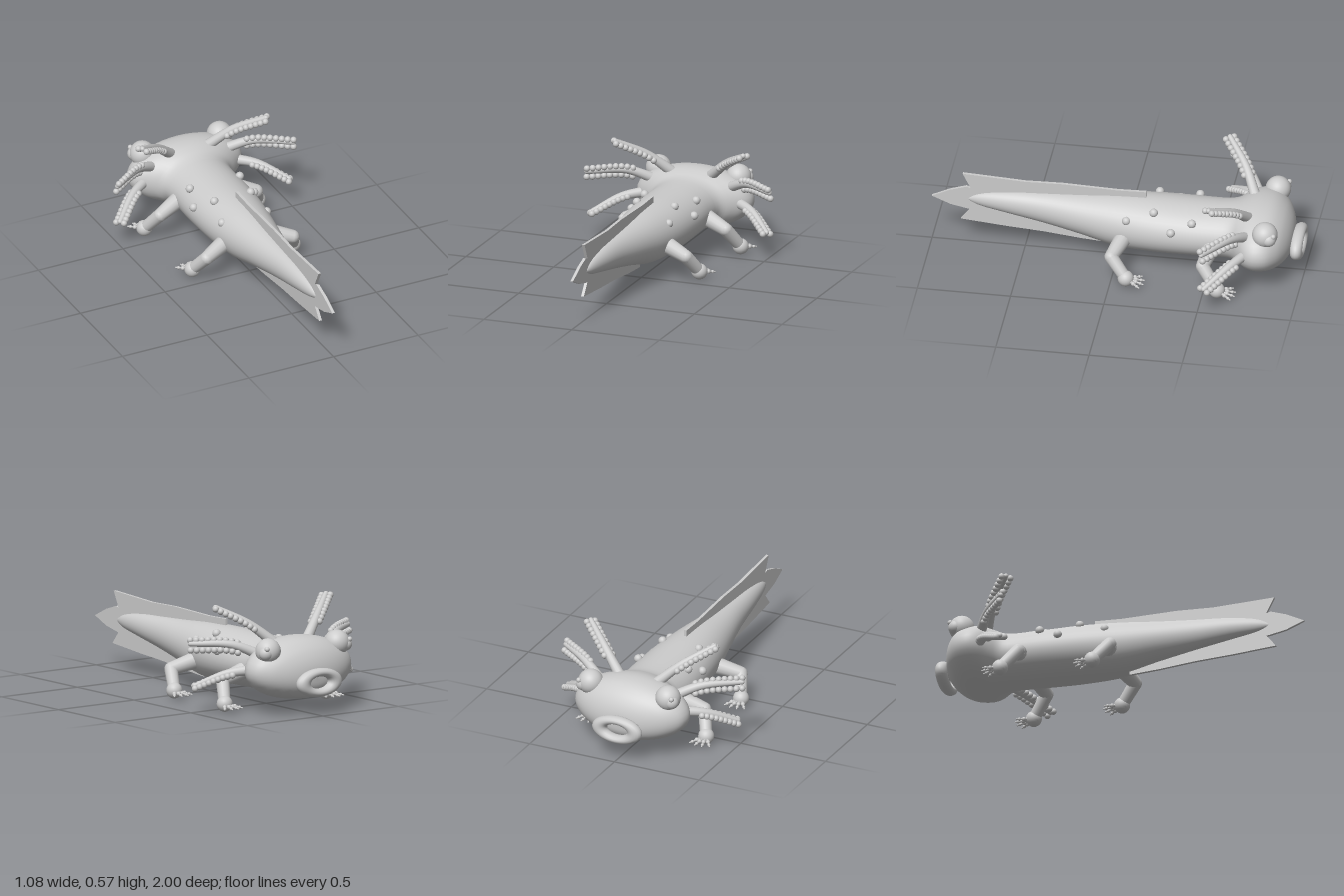
import * as THREE from 'three';

const skin = new THREE.MeshStandardMaterial({ color: 0xcccccc });
skin.name = 'pale grey skin';
const V = (x, y, z) => new THREE.Vector3(x, y, z);

function add(parent, name, geometry, pos) {
  const m = new THREE.Mesh(geometry, skin);
  m.name = name;
  if (pos) m.position.copy(pos);
  parent.add(m);
  return m;
}

function ball(parent, name, r, pos, detail = 12) {
  return add(parent, name, new THREE.SphereGeometry(r, detail * 2, detail), pos);
}

// Tube whose radius runs from r0 to r1, with a rounded tip
function taper(parent, name, curve, r0, r1, segs = 16, sides = 14) {
  const g = new THREE.TubeGeometry(curve, segs, 1, sides, false);
  const p = g.attributes.position, v = V(0, 0, 0);
  for (let i = 0; i < p.count; i++) {
    const u = Math.floor(i / (sides + 1)) / segs;
    const c = curve.getPointAt(u);
    v.fromBufferAttribute(p, i).sub(c).multiplyScalar(r0 + (r1 - r0) * u).add(c);
    p.setXYZ(i, v.x, v.y, v.z);
  }
  g.computeBoundingSphere();
  add(parent, name, g);
  ball(parent, name + 'Tip', r1, curve.getPointAt(1), 7);
}

// Head, trunk and tail: elliptical sections [z, half width, bottom, top]
function bodyGeometry() {
  const sections = [
    [-0.945, 0.002, 0.2, 0.204], [-0.938, 0.1, 0.15, 0.265], [-0.915, 0.19, 0.115, 0.32],
    [-0.88, 0.262, 0.09, 0.362], [-0.83, 0.315, 0.075, 0.393], [-0.77, 0.328, 0.07, 0.404],
    [-0.72, 0.308, 0.073, 0.402], [-0.67, 0.25, 0.08, 0.39], [-0.63, 0.204, 0.083, 0.377],
    [-0.58, 0.189, 0.083, 0.37], [-0.4, 0.188, 0.078, 0.37], [-0.2, 0.178, 0.074, 0.374],
    [0, 0.15, 0.082, 0.37], [0.2, 0.111, 0.128, 0.356], [0.4, 0.075, 0.17, 0.345],
    [0.6, 0.052, 0.208, 0.333], [0.75, 0.026, 0.238, 0.307], [0.82, 0.002, 0.268, 0.272],
  ];
  const size = new THREE.CatmullRomCurve3(sections.map(s => V(s[0], s[1], (s[3] - s[2]) / 2)));
  const mid = new THREE.CatmullRomCurve3(sections.map(s => V(s[0], (s[2] + s[3]) / 2, 0)));
  const rings = (sections.length - 1) * 4, sides = 40, pos = [], idx = [];
  for (let i = 0; i <= rings; i++) {
    const s = size.getPoint(i / rings), c = mid.getPoint(i / rings);
    for (let j = 0; j < sides; j++) {
      const a = j / sides * Math.PI * 2;
      pos.push(s.y * Math.cos(a), c.y + s.z * Math.sin(a), s.x);
      if (i === rings) continue;
      const n = (j + 1) % sides, b = i * sides;
      idx.push(b + j, b + n, b + sides + j, b + n, b + sides + n, b + sides + j);
    }
  }
  const g = new THREE.BufferGeometry();
  g.setAttribute('position', new THREE.Float32BufferAttribute(pos, 3));
  g.setIndex(idx);
  g.computeVertexNormals();
  return g;
}

// Thin upright plate from an outline of [z, y] points
function fin(parent, name, points, t = 0.016) {
  const shape = new THREE.Shape(points.map(p => new THREE.Vector2(p[0], p[1])));
  const g = new THREE.ExtrudeGeometry(shape, { depth: t, bevelEnabled: false });
  g.rotateY(-Math.PI / 2).translate(t / 2, 0, 0);
  add(parent, name, g);
}

// Feathery gill: a curved stalk with two rows of beads
function gill(parent, name, pts, offset) {
  const curve = new THREE.CatmullRomCurve3(pts);
  taper(parent, name + 'Stalk', curve, 0.029, 0.014);
  const n = 9;
  for (let i = 0; i < n; i++) {
    const u = 0.36 + 0.64 * i / (n - 1);
    for (const k of [-1, 1]) {
      const p = curve.getPointAt(u).addScaledVector(offset, k);
      p.y -= 0.008;
      ball(parent, name + 'Bead', 0.0175, p, 7);
    }
  }
}

// Bent leg, round foot and four knobbly toes
function leg(parent, name, s, hip, knee, foot) {
  taper(parent, name + 'Upper', new THREE.LineCurve3(hip, knee), 0.048, 0.036, 4);
  taper(parent, name + 'Lower', new THREE.LineCurve3(knee, foot), 0.036, 0.032, 4);
  ball(parent, name + 'Foot', 0.043, foot);
  for (let i = 0; i < 4; i++) {
    const a = (i - 1.5) * 0.42;
    const dir = V(s * Math.sin(a), -0.18, -Math.cos(a));
    const at = d => foot.clone().addScaledVector(dir, d);
    taper(parent, name + 'Toe', new THREE.LineCurve3(at(0.025), at(0.098)), 0.009, 0.004, 2, 8);
    ball(parent, name + 'Knuckle', 0.012, at(0.056), 6);
    ball(parent, name + 'ToePad', 0.009, at(0.082), 6);
  }
}

export function createModel() {
  const model = new THREE.Group();
  model.name = 'salamander';
  add(model, 'body', bodyGeometry());

  // Ring-shaped lips
  const lips = add(model, 'lips', new THREE.TorusGeometry(0.103, 0.042, 16, 48), V(0, 0.178, -0.967));
  lips.scale.set(1, 0.53, 0.78);

  // Fins along the back, under the tail and at the tip
  fin(model, 'backFin', [[-0.15, 0.3], [0.79, 0.27], [0.79, 0.335], [0.835, 0.425],
    [0.5, 0.408], [0.3, 0.413], [0, 0.404], [-0.15, 0.408]]);
  fin(model, 'tailTipFin', [[0.6, 0.28], [0.79, 0.205], [0.9, 0.228], [1, 0.27],
    [0.9, 0.318], [0.815, 0.345]]);
  fin(model, 'underFin', [[0.04, 0.15], [0.04, 0.072], [0.2, 0.084], [0.4, 0.106],
    [0.6, 0.12], [0.845, 0.142], [0.79, 0.21], [0.75, 0.27], [0.4, 0.24]]);

  for (const s of [1, -1]) {
    const side = new THREE.Group();
    side.name = s > 0 ? 'plusXSide' : 'minusXSide';
    model.add(side);
    const P = (x, y, z) => V(s * x, y, z);

    ball(side, 'eye', 0.068, P(0.228, 0.35, -0.82), 18);
    ball(side, 'pupil', 0.038, P(0.262, 0.343, -0.846));
    ball(side, 'eyeGlint', 0.014, P(0.273, 0.37, -0.872), 8);

    gill(side, 'upperGill', [P(0.11, 0.37, -0.715), P(0.23, 0.475, -0.645), P(0.365, 0.56, -0.54)],
      P(-0.014, -0.002, 0.02));
    gill(side, 'middleGill', [P(0.2, 0.31, -0.73), P(0.34, 0.372, -0.65), P(0.52, 0.378, -0.525)],
      P(-0.004, 0.026, 0.008));
    gill(side, 'lowerGill', [P(0.25, 0.24, -0.73), P(0.37, 0.22, -0.65), P(0.5, 0.152, -0.535)],
      P(-0.013, 0.004, 0.02));

    leg(side, 'frontLeg', s, P(0.14, 0.21, -0.53), P(0.285, 0.155, -0.495), P(0.335, 0.045, -0.58));
    leg(side, 'backLeg', s, P(0.11, 0.19, -0.05), P(0.255, 0.145, 0), P(0.297, 0.045, -0.085));

    // Raised spots on the flank
    for (const [x, y, z] of [[0.147, 0.325, -0.415], [0.178, 0.275, -0.307],
      [0.107, 0.348, -0.205], [0.132, 0.298, -0.062]]) {
      ball(side, 'spot', 0.023, P(x, y, z), 8);
    }
  }
  return model;
}
